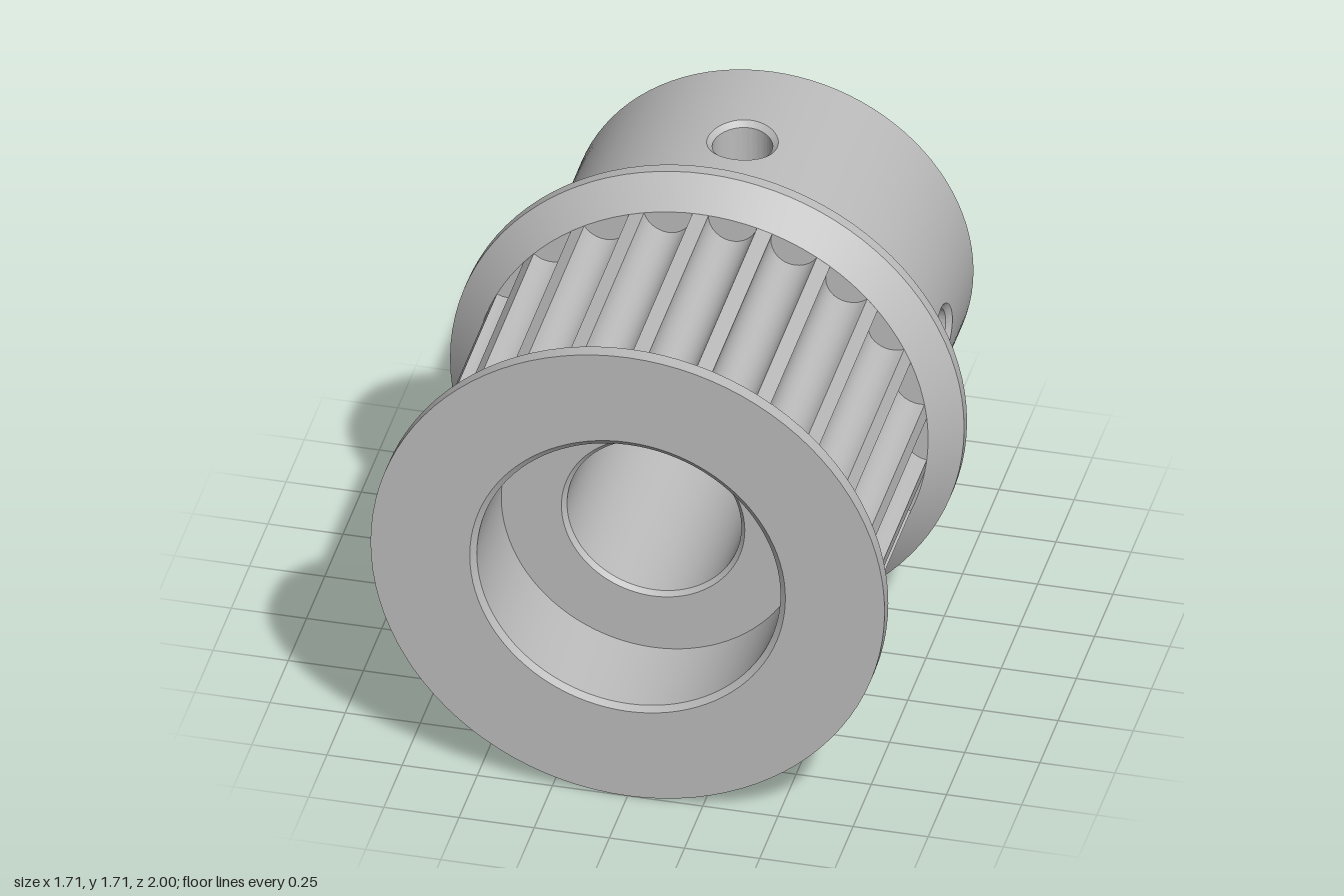
import * as THREE from 'three';
import { toCreasedNormals } from 'three/addons/utils/BufferGeometryUtils.js';

const SEG = 96, HOLE_Z = -0.575, HOLE_R = 0.098, BORE_R = 0.29, HUB_R = 0.67, TIP_R = 0.757;
const HUB_BACK = -0.98, FLANGE_BACK = -0.145;

// Ring of revolution about z from [radius, z] points
function turned(points) {
  const g = new THREE.LatheGeometry(points.map(([r, z]) => new THREE.Vector2(r, z)), SEG);
  g.rotateX(Math.PI / 2);
  return toCreasedNormals(g, 0.5);
}

// Closed strip of rows; fn(row, phi) returns [radius, angle, z]
function rings(rows, fn, flip = false) {
  const pos = [], idx = [], n = SEG + 1;
  for (let j = 0; j < rows; j++) {
    for (let i = 0; i <= SEG; i++) {
      const [r, a, z] = fn(j, (i / SEG) * Math.PI * 2);
      pos.push(r * Math.cos(a), r * Math.sin(a), z);
      if (j === rows - 1 || i === SEG) continue;
      const p = j * n + i, q = p + n;
      if (flip) idx.push(p, q + 1, q, p, p + 1, q + 1);
      else idx.push(p, q, q + 1, p, q + 1, p + 1);
    }
  }
  const g = new THREE.BufferGeometry();
  g.setAttribute('position', new THREE.Float32BufferAttribute(pos, 3));
  g.setIndex(idx);
  return g;
}

// Quarter of a cylinder wall with a round radial hole in it
function drilledQuarter(r, holeR, z0, z1, inward) {
  const rows = 9;
  const side = (v) => THREE.MathUtils.clamp((4 / Math.PI) * Math.asin(v), -1, 1);
  const g = rings(rows, (j, phi) => {
    const t = j / (rows - 1), c = Math.cos(phi), s = Math.sin(phi);
    const edgeZ = side(s);
    const a = THREE.MathUtils.lerp(Math.asin((holeR * c) / r), side(c) * Math.PI / 4, t);
    const dz = THREE.MathUtils.lerp(holeR * s, edgeZ * (edgeZ > 0 ? z1 - HOLE_Z : HOLE_Z - z0), t);
    return [r, a, HOLE_Z + dz];
  }, inward);
  const p = g.attributes.position, normals = [], k = (inward ? -1 : 1) / r;
  for (let i = 0; i < p.count; i++) normals.push(p.getX(i) * k, p.getY(i) * k, 0);
  g.setAttribute('normal', new THREE.Float32BufferAttribute(normals, 3));
  return g;
}

// Wall of a screw hole with its outer chamfer
function holeWall() {
  const steps = [[HOLE_R, BORE_R], [HOLE_R, HUB_R - 0.018], [0.116, HUB_R]];
  const g = rings(steps.length, (j, phi) => {
    const [rho, r] = steps[j];
    return [r, Math.asin((rho * Math.cos(phi)) / r), HOLE_Z + rho * Math.sin(phi)];
  });
  return toCreasedNormals(g, 0.5);
}

// Toothed drum with rounded grooves
function toothedDrum() {
  const teeth = 22, pitch = (Math.PI * 2) / teeth, cuts = 14, pts = [];
  for (let k = 0; k < teeth; k++) {
    const mid = Math.PI / 2 + (k + 0.5) * pitch;
    for (let i = 0; i <= cuts; i++) {
      const t = (i / cuts) * Math.PI;
      const a = mid - 0.108 * Math.cos(t), r = TIP_R - 0.08 * Math.sin(t);
      pts.push(new THREE.Vector2(r * Math.cos(a), r * Math.sin(a)));
    }
  }
  const shape = new THREE.Shape(pts);
  shape.holes.push(new THREE.Path().absarc(0, 0, 0.58, 0, Math.PI * 2, true));
  const g = new THREE.ExtrudeGeometry(shape, { depth: 0.86, bevelEnabled: false, curveSegments: 24 });
  return toCreasedNormals(g, 0.6);
}

export function createModel() {
  const model = new THREE.Group();
  model.name = 'timingPulley';
  const metal = new THREE.MeshStandardMaterial({ color: 0xbcbcbc });
  metal.name = 'grey metal';

  const add = (name, geometry, turn = 0) => {
    const mesh = new THREE.Mesh(geometry, metal);
    mesh.name = name;
    mesh.position.y = 0.855;
    mesh.rotation.z = turn;
    model.add(mesh);
  };

  // Rear recess and hub rim
  add('hubEnd', turned([[BORE_R, -0.69], [0.505, -0.69], [0.505, -0.985], [0.525, -1], [0.65, -1], [HUB_R, HUB_BACK]]));

  // Rear flange
  add('rearFlange', turned([[HUB_R, FLANGE_BACK], [0.84, FLANGE_BACK], [0.855, -0.13], [0.855, -0.09], [TIP_R, 0], [0.6, 0]]));

  // Front flange, front recess and bore
  add('frontFlangeAndBore', turned([[0.6, 0.86], [TIP_R, 0.86], [0.855, 0.95], [0.855, 1], [0.525, 1],
    [0.505, 0.985], [0.505, 0.65], [0.305, 0.65], [BORE_R, 0.635], [BORE_R, -0.4]]));

  add('toothedDrum', toothedDrum());

  // Hub wall, bore wall and screw hole, repeated on four sides
  const hubWall = drilledQuarter(HUB_R, 0.116, HUB_BACK, FLANGE_BACK, false);
  const boreWall = drilledQuarter(BORE_R, HOLE_R, -0.69, -0.4, true);
  const screwHole = holeWall();
  for (let q = 0; q < 4; q++) {
    const turn = (q * Math.PI) / 2;
    add('hubWall', hubWall, turn);
    add('boreWall', boreWall, turn);
    add('screwHole', screwHole, turn);
  }
  return model;
}
